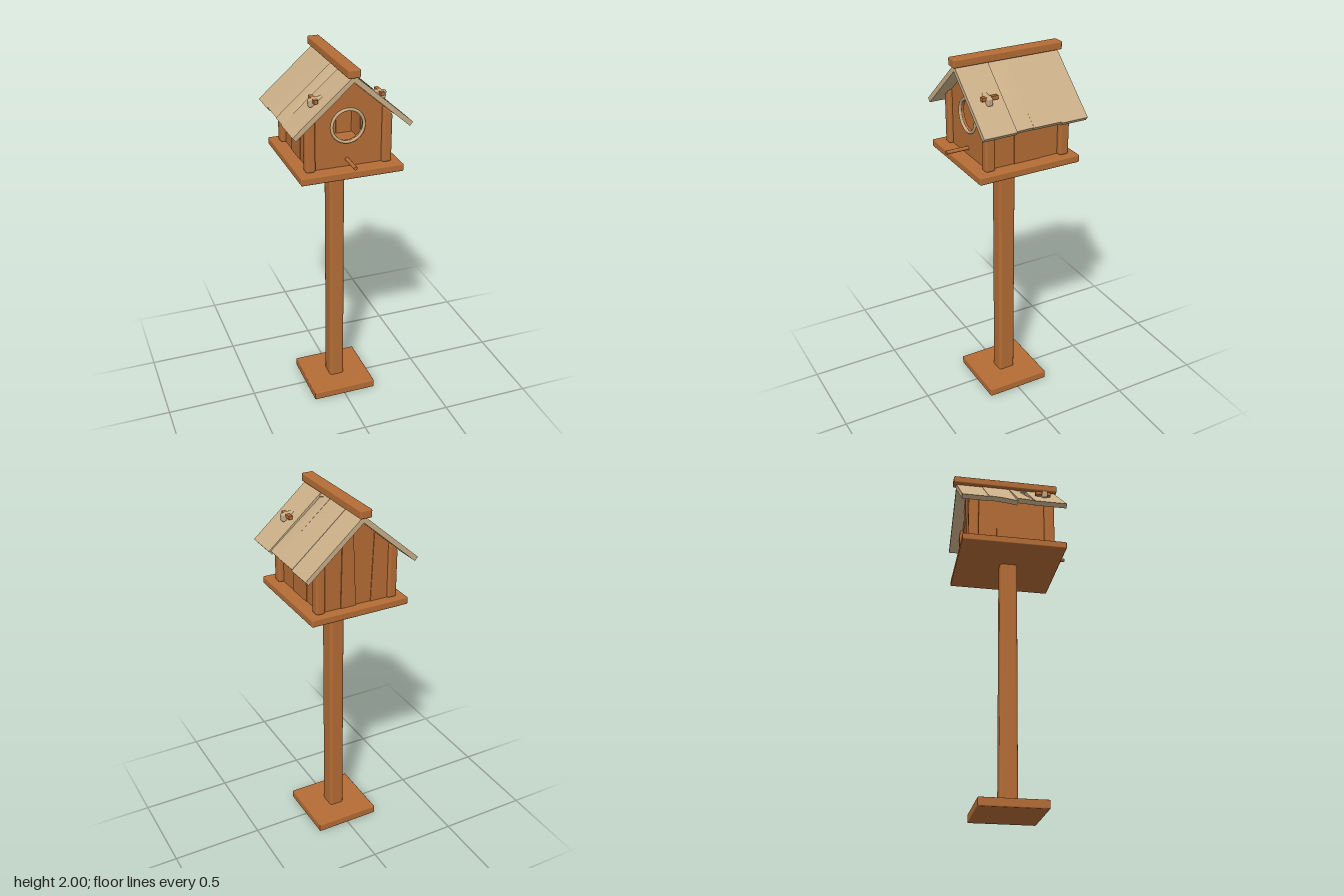
import * as THREE from 'three';
import { RoundedBoxGeometry } from 'three/addons/geometries/RoundedBoxGeometry.js';

const SLOPE = Math.atan2(0.275, 0.315); // roof pitch
const RIDGE_Y = 1.965;
// height of the roof underside above a given x
const underRoof = (x) => 1.93 - 0.873 * Math.abs(x);

export function createModel() {
  const model = new THREE.Group();
  model.name = 'birdhouse';

  const wood = new THREE.MeshStandardMaterial({ color: 0xb46c35 });
  wood.name = 'warm brown wood';
  const paleWood = new THREE.MeshStandardMaterial({ color: 0xc9ae87 });
  paleWood.name = 'pale weathered wood';

  const add = (name, geometry, material, x = 0, y = 0, z = 0) => {
    const mesh = new THREE.Mesh(geometry, material);
    mesh.name = name;
    mesh.position.set(x, y, z);
    model.add(mesh);
    return mesh;
  };
  // softly worn timber block given by its limits
  const timber = (name, [x0, x1], [y0, y1], [z0, z1], r, material = wood) =>
    add(name, new RoundedBoxGeometry(x1 - x0, y1 - y0, z1 - z0, 2, r), material,
      (x0 + x1) / 2, (y0 + y1) / 2, (z0 + z1) / 2);

  // stand
  timber('footPlate', [-0.183, 0.183], [0, 0.047], [-0.183, 0.18], 0.006);
  timber('pole', [-0.042, 0.042], [0.03, 1.45], [-0.052, 0.046], 0.016);
  timber('platform', [-0.275, 0.275], [1.43, 1.47], [-0.298, 0.28], 0.006);

  // four corner posts, cut on top to follow the roof
  for (const x of [-0.205, 0.205]) {
    for (const z of [-0.232, 0.196]) {
      const h = 0.25;
      const geometry = new RoundedBoxGeometry(0.052, h, 0.056, 2, 0.014);
      const p = geometry.attributes.position;
      for (let i = 0; i < p.count; i++) {
        if (p.getY(i) > 0) p.setY(i, p.getY(i) - h / 2 + underRoof(x + p.getX(i)) - 1.465 - h / 2);
      }
      add('cornerPost', geometry, wood, x, 1.465 + h / 2, z);
    }
  }

  // front gable with the round entrance
  const gable = new THREE.Shape();
  gable.moveTo(-0.195, 1.465);
  gable.lineTo(0.195, 1.465);
  gable.lineTo(0.195, underRoof(0.195));
  gable.lineTo(0, underRoof(0));
  gable.lineTo(-0.195, underRoof(0.195));
  const hole = new THREE.Path();
  hole.absarc(-0.003, 1.687, 0.083, 0, Math.PI * 2, true);
  gable.holes.push(hole);
  add('frontWall', new THREE.ExtrudeGeometry(gable, { depth: 0.02, bevelEnabled: false, curveSegments: 20 }),
    wood, 0, 0, 0.182);
  add('entranceRing', new THREE.TorusGeometry(0.086, 0.008, 8, 32), paleWood, -0.003, 1.687, 0.204);

  // back gable made of uneven upright planks: [bottom x0, x1, top x0, x1, outward offset]
  const backPlanks = [
    [-0.195, -0.083, -0.195, -0.098, 0.004],
    [-0.083, 0.004, -0.098, 0.024, 0],
    [0.004, 0.09, 0.024, 0.082, 0.008],
    [0.09, 0.195, 0.082, 0.195, 0.002],
  ];
  for (const [a, b, c, d, out] of backPlanks) {
    const shape = new THREE.Shape();
    shape.moveTo(a, 1.465);
    shape.lineTo(b, 1.465);
    shape.lineTo(d, underRoof(d));
    if (c < 0 && d > 0) shape.lineTo(0, underRoof(0));
    shape.lineTo(c, underRoof(c));
    add('backPlank', new THREE.ExtrudeGeometry(shape, { depth: 0.022, bevelEnabled: false }), wood, 0, 0, -0.242 - out);
  }

  // side walls, three planks each
  for (const s of [-1, 1]) {
    [[-0.23, -0.1, 0], [-0.1, 0.05, 0.004], [0.05, 0.19, 0.001]].forEach(([z0, z1, out]) => {
      const x = s * (0.192 + out);
      add('sidePlank', new THREE.BoxGeometry(0.02, 0.29, z1 - z0), wood, x, 1.61, (z0 + z1) / 2);
    });
  }

  // perch
  const perch = add('perch', new THREE.CylinderGeometry(0.01, 0.01, 0.135, 12), wood, -0.007, 1.508, 0.26);
  perch.rotation.x = Math.PI / 2;

  // warped roof planks: [back z, front z, eave trim, lift, dip of front edge at ridge, at eave]
  const roofPlanks = {
    '-1': [[-0.31, -0.16, 0, 0, 0, 0], [-0.16, 0, 0.006, 0.002, 0, 0.012],
      [0, 0.104, 0.004, 0.004, 0.024, 0.004], [0.097, 0.277, 0, 0.001, 0, 0]],
    '1': [[-0.31, -0.16, 0, 0, 0, 0], [-0.16, 0, 0.006, 0.002, 0.003, 0],
      [0, 0.098, 0.008, 0.001, 0.014, 0.004], [0.095, 0.277, 0, 0.003, 0, 0]],
  };
  const length = 0.418;
  for (const s of [-1, 1]) {
    for (const [z0, z1, trim, lift, ridgeDip, eaveDip] of roofPlanks[s]) {
      const width = z1 - z0;
      const geometry = new THREE.BoxGeometry(length - trim, 0.026, width, 6, 1, 4);
      geometry.translate(s * (length - trim) / 2, lift - 0.013, 0);
      const p = geometry.attributes.position;
      for (let i = 0; i < p.count; i++) {
        const along = Math.abs(p.getX(i)) / length;
        const across = p.getZ(i) / width + 0.5;
        const dip = THREE.MathUtils.lerp(ridgeDip, eaveDip, along) * across * across;
        p.setY(i, p.getY(i) - dip);
      }
      geometry.computeVertexNormals();
      const plank = add('roofPlank', geometry, paleWood, 0, RIDGE_Y, (z0 + z1) / 2);
      plank.rotation.z = -s * SLOPE;
    }
  }
  timber('ridgeBeam', [-0.035, 0.03], [1.957, 2], [-0.328, 0.289], 0.007);

  // peg through each roof slope, locked by a small cross pin
  for (const s of [-1, 1]) {
    const peg = add('roofPeg', new RoundedBoxGeometry(0.12, 0.042, 0.03, 2, 0.008), paleWood, s * 0.144, 1.829, 0.18);
    peg.rotation.z = -s * 0.12;
    add('pegPin', new THREE.BoxGeometry(0.02, 0.02, 0.088), wood, s * 0.174, 1.835, 0.172);
  }

  return model;
}
